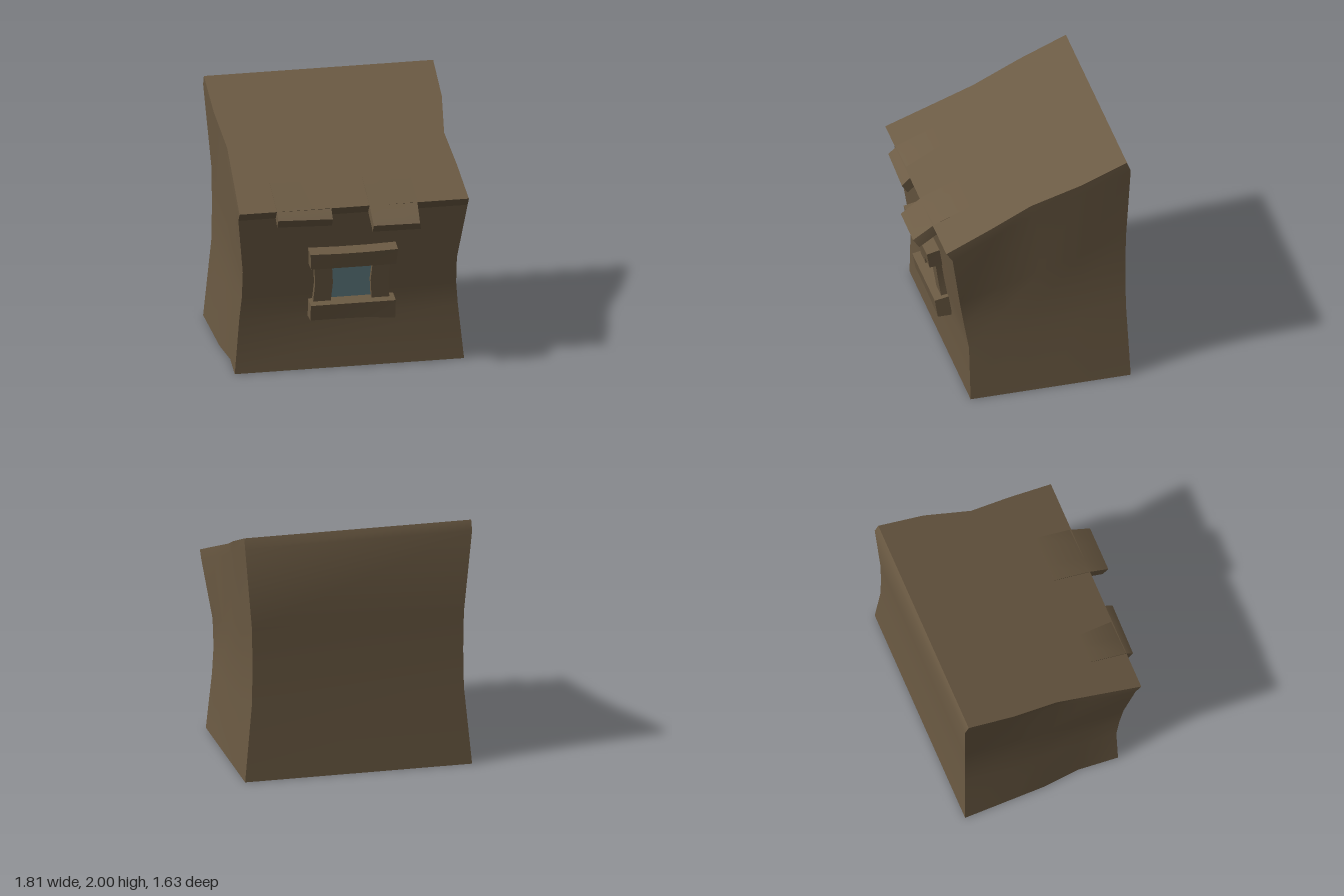
import * as THREE from 'three';
import { toCreasedNormals } from 'three/addons/utils/BufferGeometryUtils.js';

const lerp = THREE.MathUtils.lerp;

// Building shell: a grid of points on each warped side, joined by strips across x
function shellGeometry() {
  const depth = [0, 0.26, 0.52, 0.75, 1]; // back to front
  const front = [[0.465, 0], [0.465, 0.45], [0.497, 0.65], [0.533, 0.87], [0.61, 1.33], [0.66, 1.4]]; // z, y
  const back = [[-0.82, 0], [-0.797, 0.63], [-0.795, 0.94], [-0.797, 1.25], [-0.82, 1.92], [-0.79, 2]];
  // Half widths: one row per level, back to front
  const rightHalf = [
    [0.905, 0.905, 0.905, 0.905, 0.905],
    [0.845, 0.85, 0.845, 0.85, 0.856],
    [0.84, 0.84, 0.84, 0.835, 0.836],
    [0.845, 0.84, 0.835, 0.835, 0.835],
    [0.905, 0.895, 0.845, 0.88, 0.905],
    [0.905, 0.9, 0.845, 0.88, 0.905],
  ];
  const leftHalf = [
    [0.905, 0.905, 0.905, 0.878, 0.905],
    [0.845, 0.86, 0.86, 0.86, 0.87],
    [0.84, 0.85, 0.85, 0.85, 0.855],
    [0.845, 0.85, 0.85, 0.85, 0.855],
    [0.905, 0.895, 0.868, 0.885, 0.905],
    [0.905, 0.9, 0.868, 0.885, 0.905],
  ];
  const at = (half, sign) => (r, c) => [
    sign * half[r][c],
    lerp(back[r][1], front[r][1], depth[c]),
    lerp(back[r][0], front[r][0], depth[c]),
  ];
  const R = at(rightHalf, 1), L = at(leftHalf, -1);
  const pos = [];
  const quad = (a, b, c, d) => pos.push(...a, ...b, ...c, ...a, ...c, ...d);
  const top = front.length - 1, last = depth.length - 1;

  for (let r = 0; r < top; r++) {
    // front and back walls
    quad(L(r, last), R(r, last), R(r + 1, last), L(r + 1, last));
    quad(R(r, 0), L(r, 0), L(r + 1, 0), R(r + 1, 0));
    // side walls
    for (let c = 0; c < last; c++) {
      quad(R(r, c + 1), R(r, c), R(r + 1, c), R(r + 1, c + 1));
      quad(L(r, c), L(r, c + 1), L(r + 1, c + 1), L(r + 1, c));
    }
  }
  // roof slope and underside
  for (let c = 0; c < last; c++) {
    quad(L(top, c + 1), R(top, c + 1), R(top, c), L(top, c));
    quad(L(0, c), R(0, c), R(0, c + 1), L(0, c + 1));
  }
  const geo = new THREE.BufferGeometry();
  geo.setAttribute('position', new THREE.Float32BufferAttribute(pos, 3));
  return toCreasedNormals(geo, 0.45);
}

// Crooked beam along x: top and bottom are [z, y] lines from back to front,
// warp(p, u, v) nudges a point by its place across (u) and up (v)
function beamGeometry(x0, x1, top, bottom, warp = () => {}) {
  const n = top.length - 1;
  const geo = new THREE.BoxGeometry(1, 1, 1, 3, 2, n);
  const pos = geo.attributes.position;
  const p = new THREE.Vector3();
  for (let i = 0; i < pos.count; i++) {
    const u = pos.getX(i) + 0.5, v = pos.getY(i) + 0.5;
    const k = Math.round((pos.getZ(i) + 0.5) * n);
    p.set(lerp(x0, x1, u), lerp(bottom[k][1], top[k][1], v), lerp(bottom[k][0], top[k][0], v));
    warp(p, u, v, k);
    pos.setXYZ(i, p.x, p.y, p.z);
  }
  return toCreasedNormals(geo.toNonIndexed(), 0.45);
}

export function createModel() {
  const wood = new THREE.MeshStandardMaterial({ color: 0x6b5a43 });
  wood.name = 'brown wood';
  const glass = new THREE.MeshStandardMaterial({ color: 0x67868c });
  glass.name = 'blue glass';

  const model = new THREE.Group();
  model.name = 'leanToHouse';
  const add = (name, geo, mat = wood) => {
    const mesh = new THREE.Mesh(geo, mat);
    mesh.name = name;
    model.add(mesh);
  };

  add('houseShell', shellGeometry());

  // Roof boards hanging over the eave
  add('shortRoofBoard', beamGeometry(-0.61, -0.18,
    [[0.36, 1.529], [0.645, 1.412], [0.715, 1.345]],
    [[0.36, 1.45], [0.6, 1.335], [0.67, 1.275]],
    (p, u) => { p.y -= 0.012 * u; p.z += 0.008 * u; }));
  add('longRoofBoard', beamGeometry(0.12, 0.5,
    [[0.36, 1.529], [0.645, 1.412], [0.815, 1.29]],
    [[0.36, 1.45], [0.6, 1.335], [0.77, 1.225]],
    (p, u, v, k) => {
      if (k === 2) p.x += 0.005 - 0.015 * u * v;
      p.y -= 0.005 * u;
    }));

  // Window frame
  add('windowLintel', beamGeometry(-0.345, 0.345,
    [[0.53, 1.055], [0.665, 1.025]], [[0.5, 0.9], [0.64, 0.892]],
    (p, u, v) => {
      p.y -= 0.008 * Math.sin(Math.PI * u) * v;
      p.x += (1 - v) * (0.5 - u) * 0.02;
    }));
  add('windowSill', beamGeometry(-0.33, 0.34,
    [[0.47, 0.6], [0.6, 0.575]], [[0.45, 0.445], [0.575, 0.445]],
    (p, u, v) => { p.y -= Math.max(0, u - 0.6) * 0.06 * (1 - v); }));
  for (const side of [-1, 1]) {
    const mid = side * 0.225;
    add(side > 0 ? 'leftWindowPost' : 'rightWindowPost', beamGeometry(mid - 0.07, mid + 0.07,
      [[0.5, 0.91], [0.585, 0.9]], [[0.45, 0.58], [0.538, 0.585]],
      (p, u, v) => { p.x += side * 0.012 * (Math.abs(2 * v - 1) - 0.5); }));
  }

  // Window pane
  add('windowPane', beamGeometry(-0.165, 0.165,
    [[0.538, 0.91], [0.545, 0.91]], [[0.485, 0.585], [0.492, 0.585]]), glass);

  return model;
}
